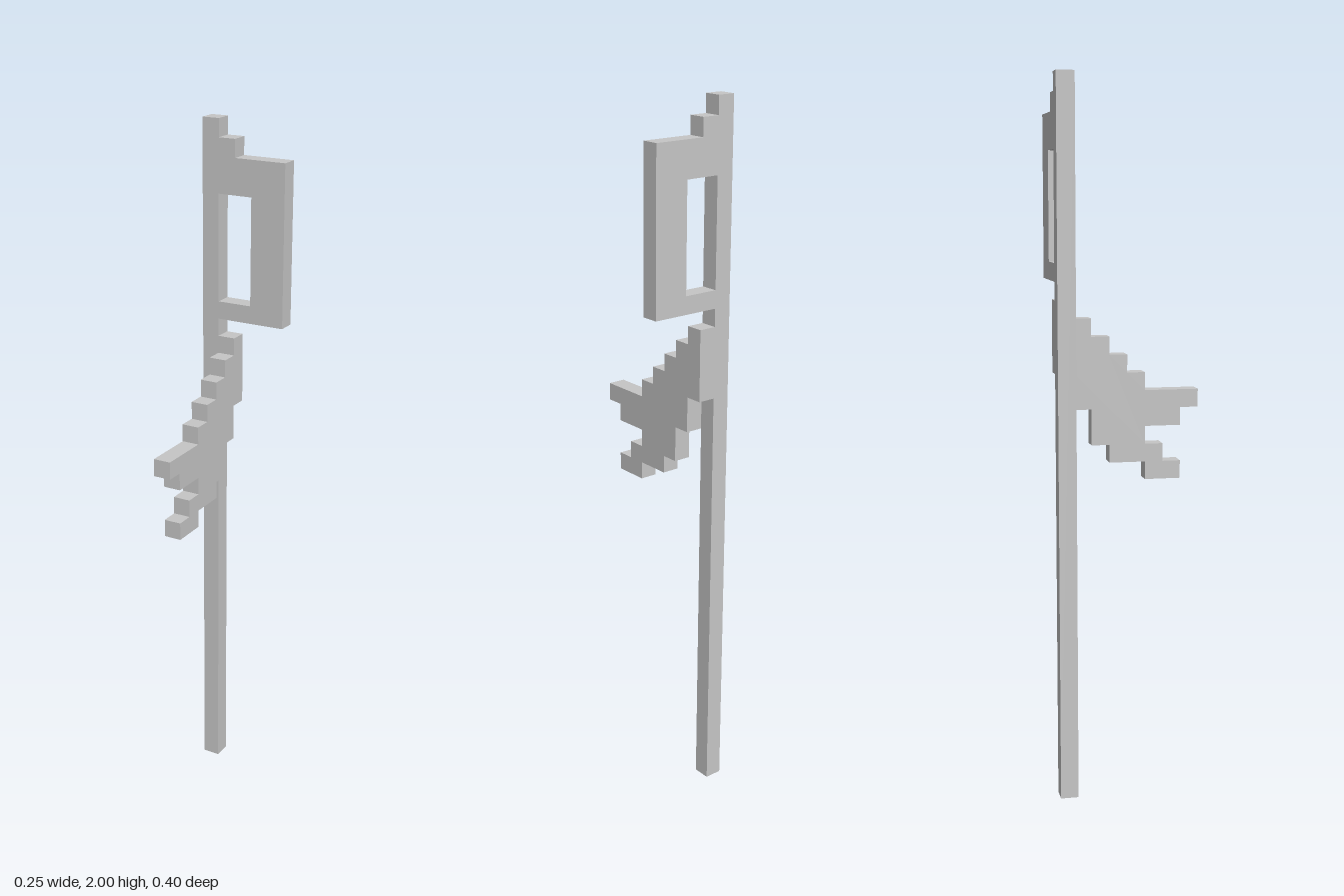
import * as THREE from 'three';

const U = 0.05; // one cell of the blocky grid

// Closed outline from points given in grid cells
function outline(points) {
  return new THREE.Shape(points.map(([a, b]) => new THREE.Vector2(a * U, b * U)));
}

function slab(shape) {
  return new THREE.ExtrudeGeometry(shape, { depth: U, bevelEnabled: false });
}

export function createModel() {
  const model = new THREE.Group();
  model.name = 'bladedStaff';
  const grey = new THREE.MeshStandardMaterial({ color: 0xc6c6c6 });
  grey.name = 'lightGrey';

  const add = (name, geometry, x, y, z) => {
    const mesh = new THREE.Mesh(geometry, grey);
    mesh.name = name;
    mesh.position.set(x, y, z);
    model.add(mesh);
  };

  // Long square pole
  add('pole', new THREE.BoxGeometry(U, 2, U), -0.1, 1, -0.175);

  // Open frame beside the top of the pole: x from the pole's side, y from the ground
  // The window's inner side is the pole itself, so the frame is C-shaped
  const frame = outline([
    [0, 29], [4, 29], [4, 38], [1, 38], [1, 39], [0, 39],
    [0, 36], [2, 36], [2, 30], [0, 30],
  ]);
  add('topFrame', slab(frame), -0.075, 0, -0.2);

  // Stepped, forked blade reaching forward: z and y in cells
  const blade = outline([
    [-4, 24], [-3, 24], [-3, 22], [-2, 22], [-2, 20], [-1, 20], [-1, 19],
    [1, 19], [1, 18], [3, 18], [3, 19], [2, 19], [2, 20], [1, 20],
    [1, 21], [3, 21], [3, 22], [4, 22], [4, 23], [1, 23], [1, 24],
    [0, 24], [0, 25], [-1, 25], [-1, 26], [-2, 26], [-2, 27], [-3, 27],
    [-3, 28], [-4, 28],
  ]);
  add('forkedBlade', slab(blade).rotateY(-Math.PI / 2), -0.025, 0, 0);

  return model;
}
